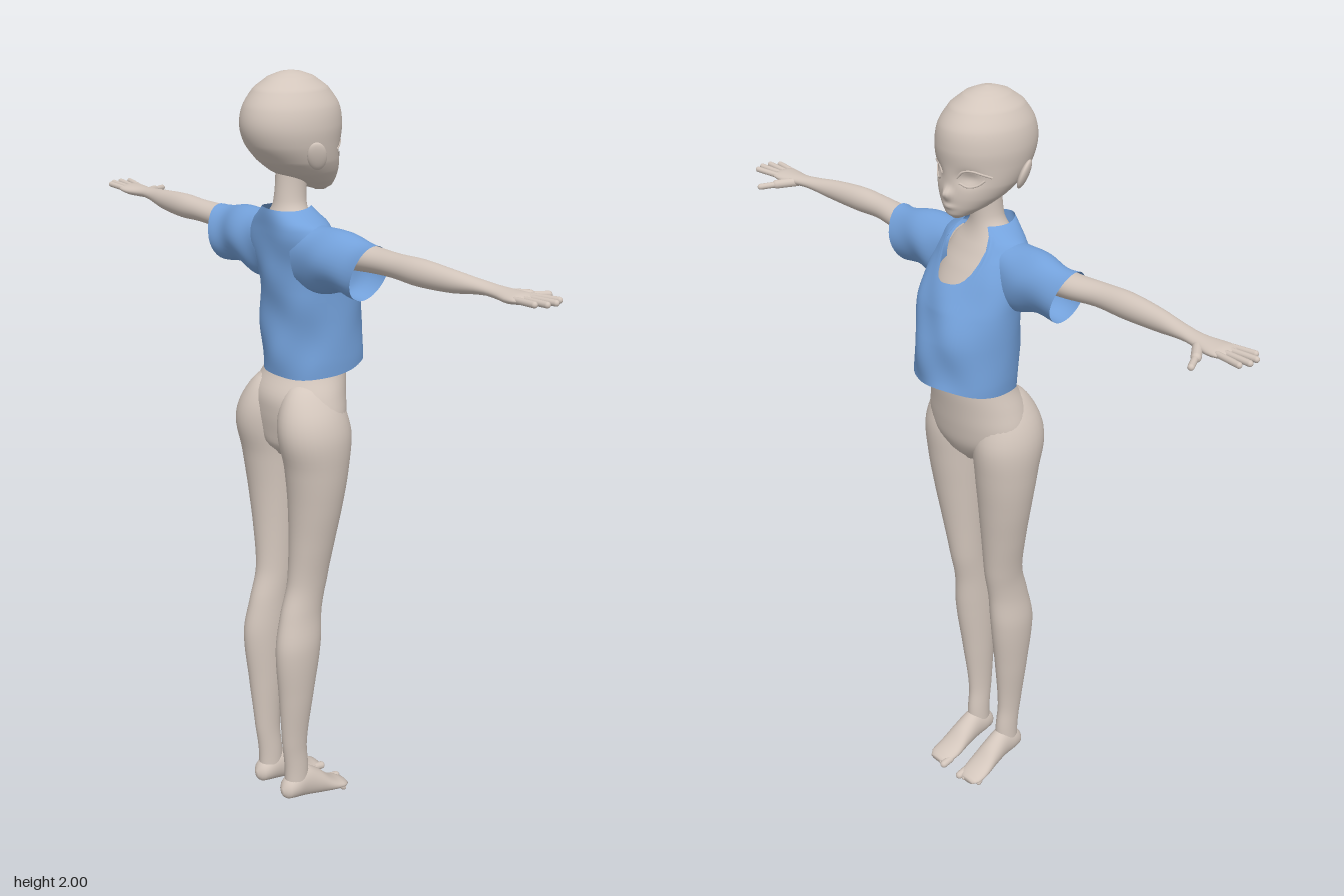
import * as THREE from 'three';

const skin = new THREE.MeshStandardMaterial({ color: 0xd3c6bc });
skin.name = 'skin';
const cloth = new THREE.MeshStandardMaterial({ color: 0x74a2dc, side: THREE.DoubleSide });
cloth.name = 'blue cloth';

// Smoothly interpolates sections [t, centreA, centreB, radiusA, radiusB] at t
function sample(S, t) {
  let i = 0;
  while (i < S.length - 2 && t > S[i + 1][0]) i++;
  const p = S[Math.max(i - 1, 0)], a = S[i], b = S[i + 1], q = S[Math.min(i + 2, S.length - 1)];
  const f = THREE.MathUtils.clamp((t - a[0]) / (b[0] - a[0]), 0, 1);
  return [1, 2, 3, 4].map((k) => {
    const m0 = (b[k] - p[k]) / 2, m1 = (q[k] - a[k]) / 2, f2 = f * f, f3 = f2 * f;
    return (2 * f3 - 3 * f2 + 1) * a[k] + (f3 - 2 * f2 + f) * m0 + (3 * f2 - 2 * f3) * b[k] + (f3 - f2) * m1;
  });
}

// Lofts elliptical sections along an axis; side -1 mirrors across x
function loft(S, { axis = 'y', side = 1, rings = 48, seg = 32, span, warp, caps = true } = {}) {
  const pos = [], idx = [];
  const whole = [S[0][0], S[S.length - 1][0]];
  const put = (t, a, b) => {
    const v = axis === 'y' ? new THREE.Vector3(a, t, b)
      : axis === 'x' ? new THREE.Vector3(t, a, b) : new THREE.Vector3(a, b, t);
    if (warp) warp(v);
    pos.push(v.x * side, v.y, v.z);
  };
  for (let i = 0; i <= rings; i++) {
    for (let j = 0; j < seg; j++) {
      const th = (j / seg) * Math.PI * 2;
      const [t0, t1] = span ? span(th) : whole;
      const t = t0 + (t1 - t0) * (i / rings);
      const [a, b, ra, rb] = sample(S, t);
      put(t, a + ra * Math.cos(th), b + rb * Math.sin(th));
    }
  }
  const flip = (axis !== 'y') !== (side < 0);
  const tri = (a, b, c) => (flip ? idx.push(a, c, b) : idx.push(a, b, c));
  for (let i = 0; i < rings; i++) {
    for (let j = 0; j < seg; j++) {
      const k = (j + 1) % seg, a = i * seg + j, b = i * seg + k;
      tri(a, a + seg, b);
      tri(b, a + seg, b + seg);
    }
  }
  if (caps) {
    const lo = pos.length / 3, last = rings * seg;
    for (const t of whole) { const [a, b] = sample(S, t); put(t, a, b); }
    for (let j = 0; j < seg; j++) {
      const k = (j + 1) % seg;
      tri(lo, j, k);
      tri(lo + 1, last + k, last + j);
    }
  }
  const g = new THREE.BufferGeometry();
  g.setAttribute('position', new THREE.Float32BufferAttribute(pos, 3));
  g.setIndex(idx);
  g.computeVertexNormals();
  return g;
}

// Rounded rod between two points
function rod(p, q, r) {
  const a = new THREE.Vector3(...p), d = new THREE.Vector3(...q).sub(a);
  const g = new THREE.CapsuleGeometry(r, d.length(), 5, 12);
  g.applyQuaternion(new THREE.Quaternion().setFromUnitVectors(new THREE.Vector3(0, 1, 0), d.clone().normalize()));
  return g.translate(a.x + d.x / 2, a.y + d.y / 2, a.z + d.z / 2);
}

const HEAD = [
  [1.705, 0, -0.06, 0.012, 0.015], [1.715, 0, -0.052, 0.032, 0.036], [1.735, 0, -0.032, 0.058, 0.06],
  [1.76, 0, -0.008, 0.081, 0.086], [1.79, 0, 0.012, 0.098, 0.105], [1.83, 0, 0.028, 0.108, 0.122],
  [1.875, 0, 0.033, 0.112, 0.131], [1.92, 0, 0.033, 0.104, 0.123], [1.96, 0, 0.034, 0.081, 0.095],
  [1.985, 0, 0.034, 0.051, 0.06], [1.996, 0, 0.034, 0.026, 0.03], [2, 0, 0.034, 0.003, 0.003],
];
const TORSO = [
  [1.03, 0, 0.02, 0.03, 0.05], [1.06, 0, 0.018, 0.09, 0.078], [1.1, 0, 0.012, 0.143, 0.092],
  [1.15, 0, 0.01, 0.15, 0.1], [1.2, 0, 0.005, 0.138, 0.102], [1.26, 0, -0.015, 0.118, 0.09],
  [1.33, 0, -0.02, 0.108, 0.085], [1.42, 0, -0.01, 0.115, 0.09], [1.5, 0, 0, 0.122, 0.085],
  [1.57, 0, 0.022, 0.118, 0.072], [1.62, 0, 0.035, 0.096, 0.058], [1.65, 0, 0.04, 0.064, 0.05],
  [1.68, 0, 0.037, 0.042, 0.042], [1.73, 0, 0.033, 0.037, 0.04], [1.79, 0, 0.03, 0.04, 0.04],
];
const LEG = [
  [0.05, 0.058, 0.065, 0.028, 0.036], [0.12, 0.058, 0.065, 0.027, 0.036], [0.2, 0.06, 0.073, 0.027, 0.038],
  [0.35, 0.066, 0.072, 0.038, 0.052], [0.5, 0.07, 0.068, 0.046, 0.068], [0.6, 0.066, 0.055, 0.042, 0.062],
  [0.68, 0.067, 0.036, 0.044, 0.058], [0.8, 0.076, 0.027, 0.056, 0.064], [0.92, 0.085, 0.022, 0.07, 0.075],
  [1.02, 0.089, 0.022, 0.079, 0.088], [1.1, 0.088, 0.028, 0.083, 0.101], [1.16, 0.08, 0.03, 0.075, 0.093],
  [1.22, 0.068, 0.022, 0.05, 0.07], [1.26, 0.06, 0.01, 0.015, 0.025],
];
const FOOT = [
  [-0.1, 0.062, 0.012, 0.025, 0.008], [-0.085, 0.062, 0.016, 0.036, 0.013], [-0.05, 0.06, 0.026, 0.039, 0.022],
  [-0.01, 0.059, 0.046, 0.035, 0.038], [0.04, 0.058, 0.066, 0.031, 0.048], [0.08, 0.058, 0.064, 0.03, 0.038],
  [0.105, 0.058, 0.058, 0.023, 0.026], [0.115, 0.058, 0.056, 0.007, 0.01],
];
const ARM = [
  [0.1, 1.59, 0.027, 0.045, 0.045], [0.2, 1.592, 0.025, 0.038, 0.042], [0.3, 1.594, 0.022, 0.031, 0.037],
  [0.38, 1.597, 0.028, 0.029, 0.031], [0.46, 1.597, 0.028, 0.032, 0.031], [0.56, 1.596, 0.022, 0.026, 0.026],
  [0.65, 1.597, 0.01, 0.015, 0.022], [0.69, 1.595, 0.006, 0.014, 0.025], [0.73, 1.594, 0.005, 0.014, 0.035],
  [0.76, 1.596, 0.005, 0.011, 0.036], [0.772, 1.597, 0.005, 0.005, 0.03],
];
const SHIRT = [
  [1.23, 0, -0.038, 0.13, 0.128], [1.3, 0, -0.035, 0.135, 0.125], [1.4, 0, -0.032, 0.138, 0.121],
  [1.48, 0, -0.02, 0.14, 0.113], [1.54, 0, 0, 0.144, 0.099], [1.6, 0, 0.024, 0.14, 0.082],
  [1.64, 0, 0.035, 0.118, 0.071], [1.66, 0, 0.042, 0.085, 0.063], [1.68, 0, 0.045, 0.052, 0.058],
];
const SLEEVE = [
  [0.07, 1.565, 0.03, 0.08, 0.066], [0.13, 1.562, 0.026, 0.083, 0.067], [0.2, 1.566, 0.025, 0.074, 0.06],
  [0.26, 1.562, 0.024, 0.071, 0.056], [0.32, 1.558, 0.024, 0.071, 0.055],
];

// Nose, lips and shallow eye hollows
function shapeFace(v) {
  if (v.z > 0) return;
  const bump = (x, y, sx, sy) => Math.exp(-(((v.x - x) / sx) ** 2) - ((v.y - y) / sy) ** 2);
  v.z -= 0.016 * bump(0, 1.77, 0.012, 0.014) + 0.005 * bump(0, 1.738, 0.018, 0.006);
  v.z += 0.011 * (bump(0.05, 1.812, 0.024, 0.018) + bump(-0.05, 1.812, 0.024, 0.018));
}

// Gentle cloth folds
function folds(v) {
  const w = 0.003 * Math.sin(34 * v.y + 22 * v.x + 9 * v.z) + 0.003 * Math.sin(47 * v.x - 28 * v.y);
  v.z += w * Math.sign(v.z) * Math.min(1, Math.abs(v.z) * 20);
  v.y += 0.003 * Math.sin(38 * v.x + 25 * v.z);
}

export function createModel() {
  const model = new THREE.Group();
  model.name = 'mannequin';
  const add = (name, geometry, material = skin) => {
    const m = new THREE.Mesh(geometry, material);
    m.name = name;
    model.add(m);
    return m;
  };

  add('head', loft(HEAD, { rings: 80, seg: 72, warp: shapeFace }));
  add('torso', loft(TORSO, { rings: 70, seg: 48 }));

  // Shirt body with a deep front neckline
  add('shirtBody', loft(SHIRT, {
    rings: 50, seg: 80, caps: false, warp: folds,
    span: (th) => [
      1.267 - 0.018 * Math.sin(th),
      1.675 - 0.13 * THREE.MathUtils.smoothstep(-Math.sin(th), 0.75, 1),
    ],
  }), cloth);

  for (const side of [1, -1]) {
    const label = side > 0 ? 'left' : 'right';
    add(label + 'Sleeve', loft(SLEEVE, {
      axis: 'x', side, rings: 28, seg: 36, caps: false, warp: folds,
      span: (th) => [0.07, 0.283 + 0.02 * Math.cos(th)],
    }), cloth);
    add(label + 'Arm', loft(ARM, { axis: 'x', side }));
    add(label + 'Leg', loft(LEG, { side, rings: 70 }));
    add(label + 'Foot', loft(FOOT, { axis: 'z', side, rings: 30 }));

    // Fingers and thumb
    [[0.822, -0.034], [0.833, -0.011], [0.831, 0.014], [0.813, 0.034]].forEach(([x, z], i) => {
      add(label + 'Finger', rod([0.755 * side, 1.597, -0.021 + i * 0.017], [x * side, 1.6, z], 0.0075));
    });
    add(label + 'Thumb', rod([0.69 * side, 1.592, -0.005], [0.722 * side, 1.588, -0.05], 0.012));
    add(label + 'ThumbTip', rod([0.72 * side, 1.588, -0.048], [0.741 * side, 1.586, -0.09], 0.008));

    // Toes, largest on the inside
    for (let i = 0; i < 5; i++) {
      const x = (0.033 + i * 0.0145) * side, r = i ? 0.0075 : 0.011;
      add(label + 'Toe', rod([x, r + 0.004, -0.075], [x, r, -0.1 + i * 0.005], r));
    }

    // Ear
    const ear = add(label + 'Ear', new THREE.SphereGeometry(1, 20, 14));
    ear.scale.set(0.01, 0.037, 0.024);
    ear.position.set(0.114 * side, 1.812, 0.045);
    ear.rotation.set(0.2, -0.5 * side, -0.25 * side);

    // Eyelids following the face
    const lid = (name, pts) => add(name, new THREE.TubeGeometry(new THREE.CatmullRomCurve3(pts.map(([x, y]) => {
      const [, cz, rx, rz] = sample(HEAD, y);
      const v = new THREE.Vector3(x, y, cz - rz * Math.sqrt(1 - (x / rx) ** 2));
      shapeFace(v);
      return new THREE.Vector3(v.x * side, v.y, v.z);
    })), 20, 0.003, 6));
    lid(label + 'UpperLid', [[0.024, 1.812], [0.038, 1.828], [0.058, 1.832], [0.076, 1.825], [0.09, 1.816]]);
    lid(label + 'LowerLid', [[0.03, 1.8], [0.048, 1.793], [0.066, 1.797], [0.08, 1.81]]);
  }
  return model;
}
